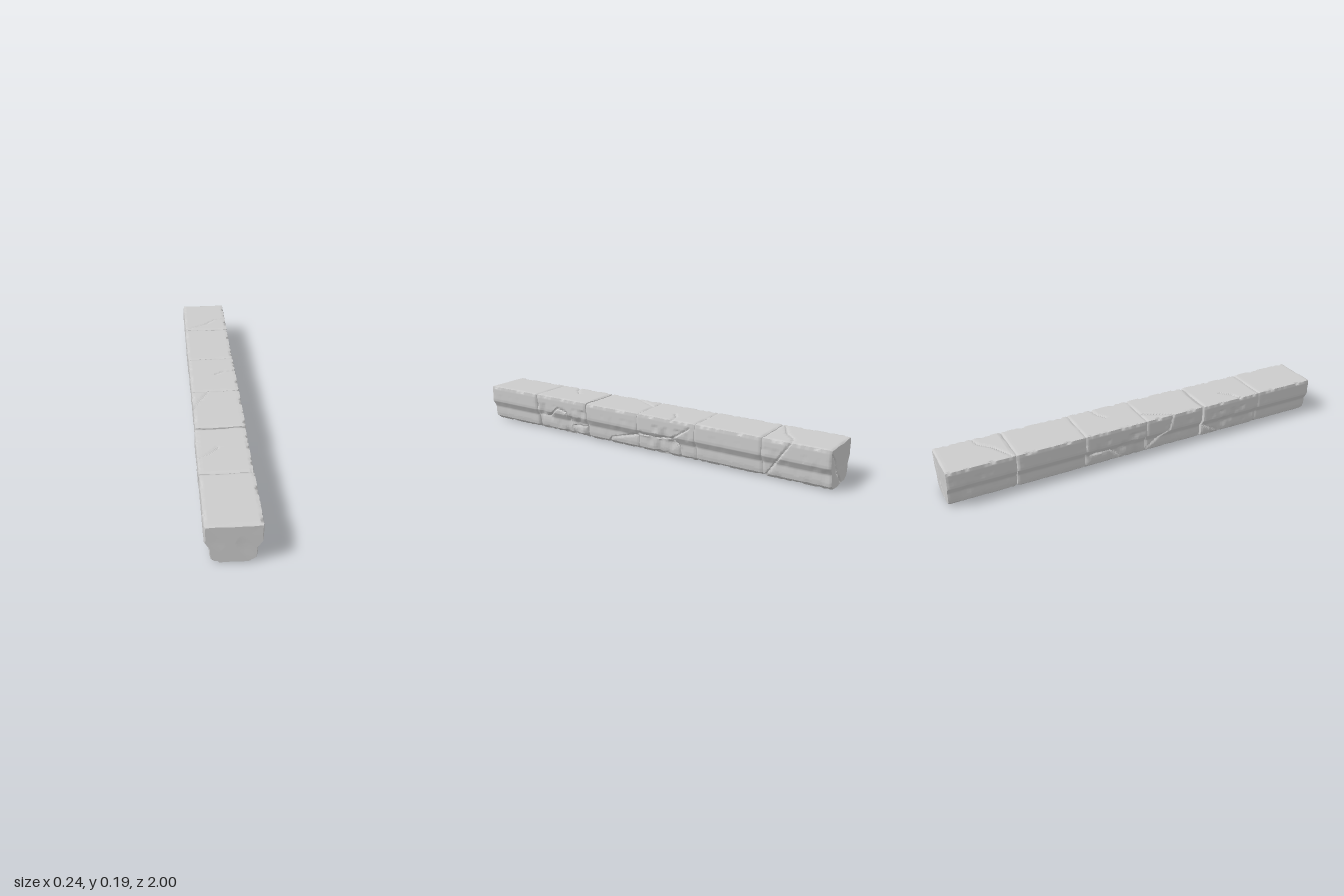
import * as THREE from 'three';
import { toCreasedNormals } from 'three/addons/utils/BufferGeometryUtils.js';

// Half of the moulded cross-section, from top centre down the +x side to bottom centre
const HALF = [[0, 0.195], [0.12, 0.195], [0.12, 0.112], [0.108, 0.092], [0.099, 0.076], [0.098, 0.04], [0.094, 0.02], [0.072, 0], [0, 0]];
const AXIS_Y = 0.1;

// Blocks from front to back: front z, back z, wear, sideways shift
const BLOCKS = [
  { z1: 1, z0: 0.667, wear: 0.001, shift: 0 },
  { z1: 0.666, z0: 0.331, wear: 0.008, shift: -0.002 },
  { z1: 0.321, z0: 0.002, wear: 0.002, shift: 0.002 },
  { z1: 0.001, z0: -0.327, wear: 0.008, shift: 0.001 },
  { z1: -0.328, z0: -0.671, wear: 0.001, shift: -0.001 },
  { z1: -0.674, z0: -1, wear: 0.003, shift: 0 },
];

// Cracks as [distance around the section from top centre, z]
const CRACKS = [
  // corner wedge of the rear block
  [[-0.11, -0.69], [0, -0.745], [0.06, -0.8], [0.12, -0.815], [0.203, -0.76], [0.331, -0.68]],
  // corner chip and underside of the third block
  [[-0.04, 0.01], [-0.12, 0.15], [-0.2, 0.13], [-0.29, 0.01]],
  [[0.241, 0.01], [0.285, 0.17], [0.333, 0.2], [0.403, 0.14], [0.473, 0.2]],
  // broken flanks and underside of the fourth block
  [[0.228, 0], [0.235, -0.1], [0.215, -0.2], [0.26, -0.24], [0.34, -0.24], [0.42, -0.12], [0.475, -0.1], [0.565, -0.2], [0.56, -0.3]],
  [[0.215, -0.2], [0.145, -0.3]],
  // broken flanks and underside of the second block
  [[0.24, 0.66], [0.24, 0.59], [0.175, 0.52], [0.19, 0.46], [0.27, 0.43], [0.333, 0.42], [0.41, 0.5], [0.475, 0.46], [0.56, 0.34]],
  [[0.27, 0.43], [0.26, 0.34]],
  // hairlines on the top
  [[-0.02, 0.48], [-0.07, 0.53], [-0.12, 0.55]],
  [[0.015, -0.16], [0.06, -0.19], [0.12, -0.2]],
].map(path => path.map(([u, z]) => new THREE.Vector3(u, z, 0)));

// Smooth, repeatable noise in -1..1
const noise = (x, y, z) => (Math.sin(x * 37 + z * 23 + 1.3) + Math.sin(y * 53 - z * 41 + x * 19) + Math.sin(z * 97 + x * 61 + y * 29)) / 3;

// Mirror and finely split the section; edge tells how close a point lies to a hard corner
function sectionPoints(step) {
  const outline = [...HALF, ...HALF.slice(1, -1).reverse().map(([x, y]) => [-x, y])];
  const points = [];
  let around = 0;
  outline.forEach(([x, y], i) => {
    const [x2, y2] = outline[(i + 1) % outline.length];
    const length = Math.hypot(x2 - x, y2 - y);
    const n = Math.max(1, Math.round(length / step));
    for (let k = 0; k < n; k++) {
      const px = x + (x2 - x) * k / n, py = y + (y2 - y) * k / n;
      const corner = Math.min(Math.hypot(Math.abs(px) - 0.12, py - 0.195), Math.hypot(Math.abs(px) - 0.075, py));
      points.push({ x: px, y: py, u: around + length * k / n, edge: Math.max(0, 1 - corner / 0.014) });
    }
    around += length;
  });
  return { points, girth: around };
}

// Groove depth at a distance from the middle of a crack
const groove = d => 0.008 * Math.max(0, 1 - d / 0.0075);

// Groove depth on the flanks, top and underside
const segment = new THREE.Line3(), spot = new THREE.Vector3(), near = new THREE.Vector3();
function crackDepth(u, z, girth) {
  let d = 1;
  for (const around of [u, u - girth]) {
    spot.set(around, z, 0);
    for (const path of CRACKS) {
      for (let i = 0; i + 1 < path.length; i++) {
        segment.set(path[i], path[i + 1]).closestPointToPoint(spot, true, near);
        d = Math.min(d, near.distanceTo(spot));
      }
    }
  }
  return groove(d);
}

// Slanting crack across the rear end face
const endCrackDepth = (x, y) => groove(Math.abs((x - 0.1) * 0.817 - (y - 0.17) * 0.577 + 0.005 * Math.sin(y * 60)));

function blockGeometry({ z0, z1, wear, shift }) {
  const { points, girth } = sectionPoints(0.007);
  const n = points.length, CAP = 12, BODY = 50;

  // Sections: rear cap grows, body runs forward, front cap shrinks
  const sections = [];
  for (let i = 0; i < CAP; i++) sections.push({ z: z0, s: i / CAP, inward: 1 });
  for (let i = 0; i <= BODY; i++) sections.push({ z: z0 + (z1 - z0) * i / BODY, s: 1, inward: 0 });
  for (let i = CAP - 1; i >= 0; i--) sections.push({ z: z1, s: i / CAP, inward: -1 });

  const position = [], index = [];
  for (const { z, s, inward } of sections) {
    const end = Math.max(0, 1 - Math.min(z - z0, z1 - z) / 0.012);
    for (const { x, y, u, edge } of points) {
      const rough = noise(x, y, z);
      // worn flanks, chipped corners and rounded block ends
      let inset = y < 0.15 && y > 0.005 ? wear * Math.max(0, rough) : 0;
      inset += edge * (0.002 + 0.011 * Math.max(0, noise(x * 2, y, z * 1.6)));
      inset += end * end * (0.005 + 0.004 * rough);
      if (!inward) inset += crackDepth(u, z, girth);
      const k = s * (1 - inset / Math.hypot(x, y - AXIS_Y));
      const px = x * k, py = AXIS_Y + (y - AXIS_Y) * k;
      const dent = 0.003 * (1 - s) * Math.max(0, noise(px, py, z)) + (z === -1 ? endCrackDepth(px, py) : 0);
      position.push(px + shift, py, z + inward * dent);
    }
  }

  // Skin between sections, single triangles at the cap centres
  const last = sections.length - 2;
  for (let i = 0; i <= last; i++) {
    for (let j = 0; j < n; j++) {
      const a = i * n + j, b = i * n + (j + 1) % n, c = b + n, d = a + n;
      if (i > 0) index.push(a, c, b);
      if (i < last) index.push(a, d, c);
    }
  }
  const geometry = new THREE.BufferGeometry();
  geometry.setAttribute('position', new THREE.Float32BufferAttribute(position, 3));
  geometry.setIndex(index);
  return toCreasedNormals(geometry, 0.6);
}

export function createModel() {
  const model = new THREE.Group();
  model.name = 'crackedStoneBeam';
  const stone = new THREE.MeshStandardMaterial({ color: 0xcccccc });
  BLOCKS.forEach((block, i) => {
    const mesh = new THREE.Mesh(blockGeometry(block), stone);
    mesh.name = `stoneBlock${i + 1}`;
    model.add(mesh);
  });
  return model;
}
